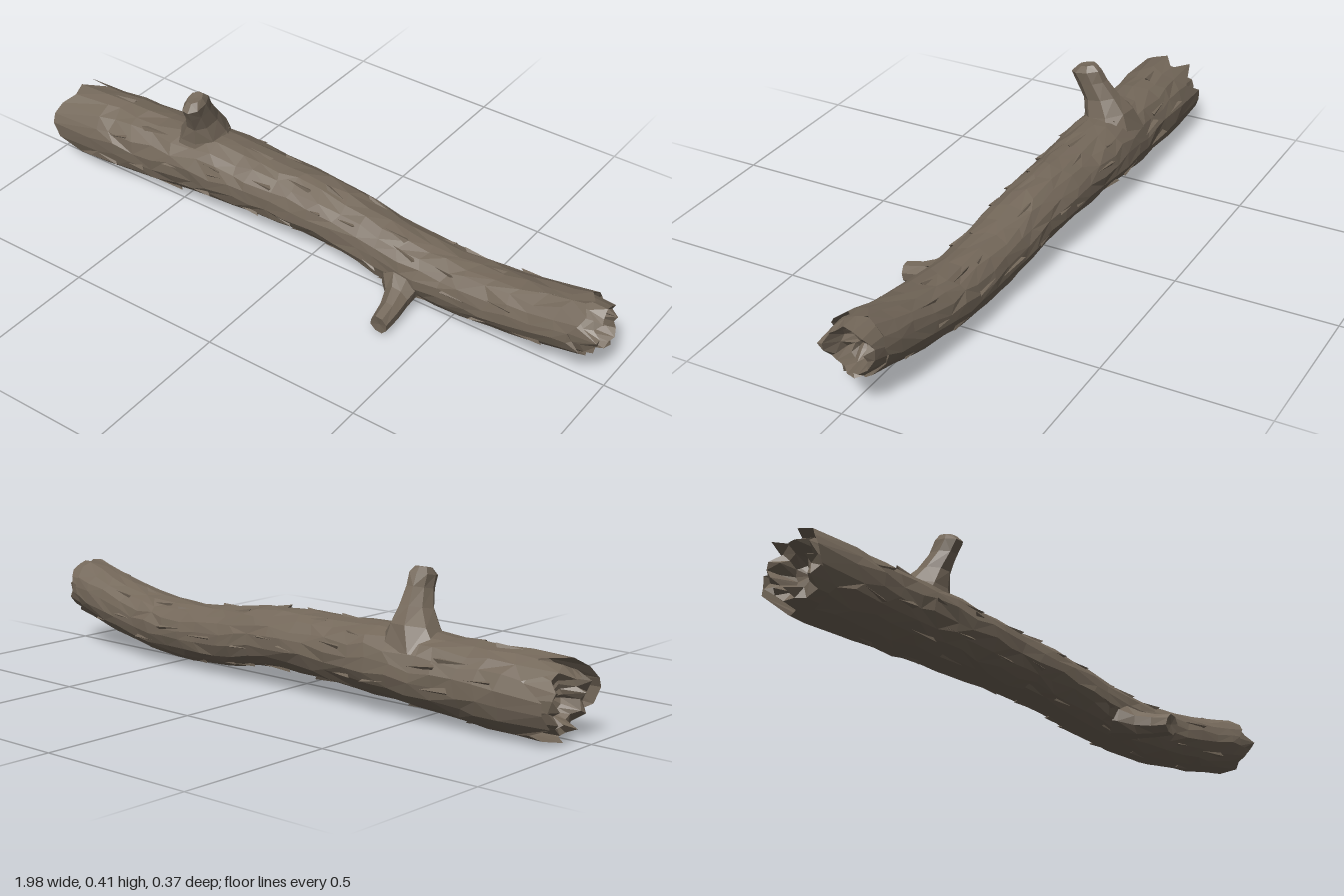
import * as THREE from 'three';

// Small seeded random, range -1..1
let seed = 7;
const rnd = () => {
  seed = (seed * 16807) % 2147483647;
  return (seed / 2147483647) * 2 - 1;
};

// Log sections: x, bottom y, top y, back z, front z
const SECTIONS = [
  [-1.00, 0.015, 0.245, -0.165, 0.078],
  [-0.87, 0.010, 0.252, -0.168, 0.078],
  [-0.60, 0.030, 0.254, -0.172, 0.066],
  [-0.42, 0.048, 0.266, -0.182, 0.058],
  [-0.20, 0.060, 0.258, -0.170, 0.048],
  [0.00, 0.070, 0.256, -0.162, 0.045],
  [0.12, 0.060, 0.246, -0.152, 0.047],
  [0.25, 0.038, 0.224, -0.144, 0.050],
  [0.42, 0.030, 0.212, -0.140, 0.055],
  [0.60, 0.040, 0.218, -0.130, 0.060],
  [0.78, 0.070, 0.248, -0.115, 0.070],
  [0.92, 0.100, 0.288, -0.102, 0.076],
  [1.00, 0.112, 0.286, -0.098, 0.080],
];

// Point on the log at x and angle (0 = top, 90 degrees = front), scaled about its core
function logPoint(x, a, scale) {
  let i = 0;
  while (i < SECTIONS.length - 2 && x > SECTIONS[i + 1][0]) i++;
  const A = SECTIONS[i], B = SECTIONS[i + 1];
  const t = THREE.MathUtils.clamp((x - A[0]) / (B[0] - A[0]), 0, 1);
  const [y0, y1, z0, z1] = [1, 2, 3, 4].map((k) => A[k] + (B[k] - A[k]) * t);
  return new THREE.Vector3(
    x,
    (y0 + y1) / 2 + Math.cos(a) * scale * (y1 - y0) / 2,
    (z0 + z1) / 2 + Math.sin(a) * scale * (z1 - z0) / 2
  );
}

function toGeometry(points) {
  const g = new THREE.BufferGeometry().setFromPoints(points);
  g.computeVertexNormals();
  return g;
}

// Skin a list of equal closed rings, with mixed diagonals for a hewn look
function loft(rings) {
  const out = [], n = rings[0].length;
  for (let i = 0; i < rings.length - 1; i++) {
    for (let j = 0; j < n; j++) {
      const k = (j + 1) % n;
      const a = rings[i][j], c = rings[i][k], b = rings[i + 1][j], d = rings[i + 1][k];
      if (rnd() > 0) out.push(a, c, b, c, d, b);
      else out.push(a, c, d, a, d, b);
    }
  }
  return toGeometry(out);
}

// Trunk: hollow left end, bark, hollow right end in one continuous skin
function trunkGeometry() {
  const sides = 18;
  // x, scale, jaggedness along x, radial roughness
  const profile = [
    [-0.89, 0, 0, 0], [-0.90, 0.35, 0.01, 0.05], [-0.955, 0.55, 0.03, 0.05],
    [-0.955, 0.76, 0.035, 0.04], [-0.87, 0.80, 0.01, 0.03], [-0.85, 0.90, 0.01, 0.02],
    [-0.915, 0.98, 0.065, 0.02],
  ];
  for (let i = 0; i <= 22; i++) profile.push([-0.82 + i * 0.0765, 0.99, 0.022, 0.035]);
  profile.push(
    [0.925, 0.98, 0.03, 0.02], [0.91, 0.88, 0.01, 0.02], [0.965, 0.85, 0.03, 0.03],
    [0.975, 0.70, 0.022, 0.04], [0.92, 0.55, 0.015, 0.05], [0.90, 0.30, 0.01, 0.05],
    [0.89, 0, 0, 0]
  );
  return loft(profile.map(([x, s, jag, rough]) =>
    Array.from({ length: sides }, (_, j) => {
      const a = ((j + (s ? rnd() * 0.22 : 0)) / sides) * Math.PI * 2;
      return logPoint(x + rnd() * jag, a, s + rnd() * rough);
    })));
}

// Lifted slivers of bark, each a low pointed wedge
function sliverGeometry(count) {
  const out = [];
  for (let i = 0; i < count; i++) {
    const x = -0.8 + 1.62 * (i + 0.5) / count + rnd() * 0.02;
    const a = i * 2.4 + rnd() * 0.4;
    const len = 0.07 + 0.03 * rnd(), w = 0.09 + 0.04 * rnd();
    const dir = rnd() > 0 ? 1 : -1;
    const root = logPoint(x - dir * len / 2, a + rnd() * 0.15, 0.97);
    const end = x + dir * len / 2;
    const b = logPoint(end, a - w, 0.94), c = logPoint(end, a + w, 0.94);
    const tip = logPoint(end + dir * 0.015, a, 1.06);
    if (dir > 0) out.push(root, tip, b, root, c, tip, b, tip, c);
    else out.push(root, b, tip, root, tip, c, b, c, tip);
  }
  return toGeometry(out);
}

// Broken branch stub: rings of [centre x, y, z, radius 1, radius 2]
function stubGeometry(rings, upright, tilt) {
  const sides = 8;
  return loft(rings.map(([x, y, z, r1, r2]) =>
    Array.from({ length: sides }, (_, j) => {
      const a = (j / sides) * Math.PI * 2 + 0.3;
      const rough = 1 + rnd() * 0.07;
      const u = Math.cos(a) * r1 * rough, v = Math.sin(a) * r2 * rough;
      return upright
        ? new THREE.Vector3(x + u, y + v * tilt, z - v)
        : new THREE.Vector3(x + u, y + v, z + v * tilt);
    })));
}

export function createModel() {
  const group = new THREE.Group();
  group.name = 'brokenLog';
  const bark = new THREE.MeshStandardMaterial({ color: 0x74685a });
  bark.name = 'brownBark';
  bark.flatShading = true;
  bark.side = THREE.DoubleSide;

  const add = (name, geometry) => {
    const mesh = new THREE.Mesh(geometry, bark);
    mesh.name = name;
    group.add(mesh);
  };

  add('trunk', trunkGeometry());
  add('barkSlivers', sliverGeometry(64));

  // Stub rising from the top, leaning forward
  add('topBranchStub', stubGeometry([
    [-0.47, 0.19, -0.068, 0.13, 0.100],
    [-0.455, 0.265, -0.058, 0.072, 0.078],
    [-0.445, 0.315, -0.038, 0.044, 0.058],
    [-0.435, 0.365, -0.010, 0.034, 0.050],
    [-0.432, 0.400, 0.008, 0.032, 0.050],
    [-0.432, 0.420, 0.006, 0.022, 0.028],
    [-0.432, 0.418, 0.006, 0, 0],
  ], true, 0.2));

  // Stub pointing to the front, low on the trunk
  add('frontBranchStub', stubGeometry([
    [0.335, 0.100, 0.000, 0.085, 0.062],
    [0.345, 0.085, 0.045, 0.060, 0.050],
    [0.358, 0.070, 0.080, 0.040, 0.040],
    [0.368, 0.058, 0.130, 0.031, 0.035],
    [0.370, 0.047, 0.186, 0.029, 0.031],
    [0.370, 0.047, 0.182, 0, 0],
  ], false, 0.12));

  return group;
}
